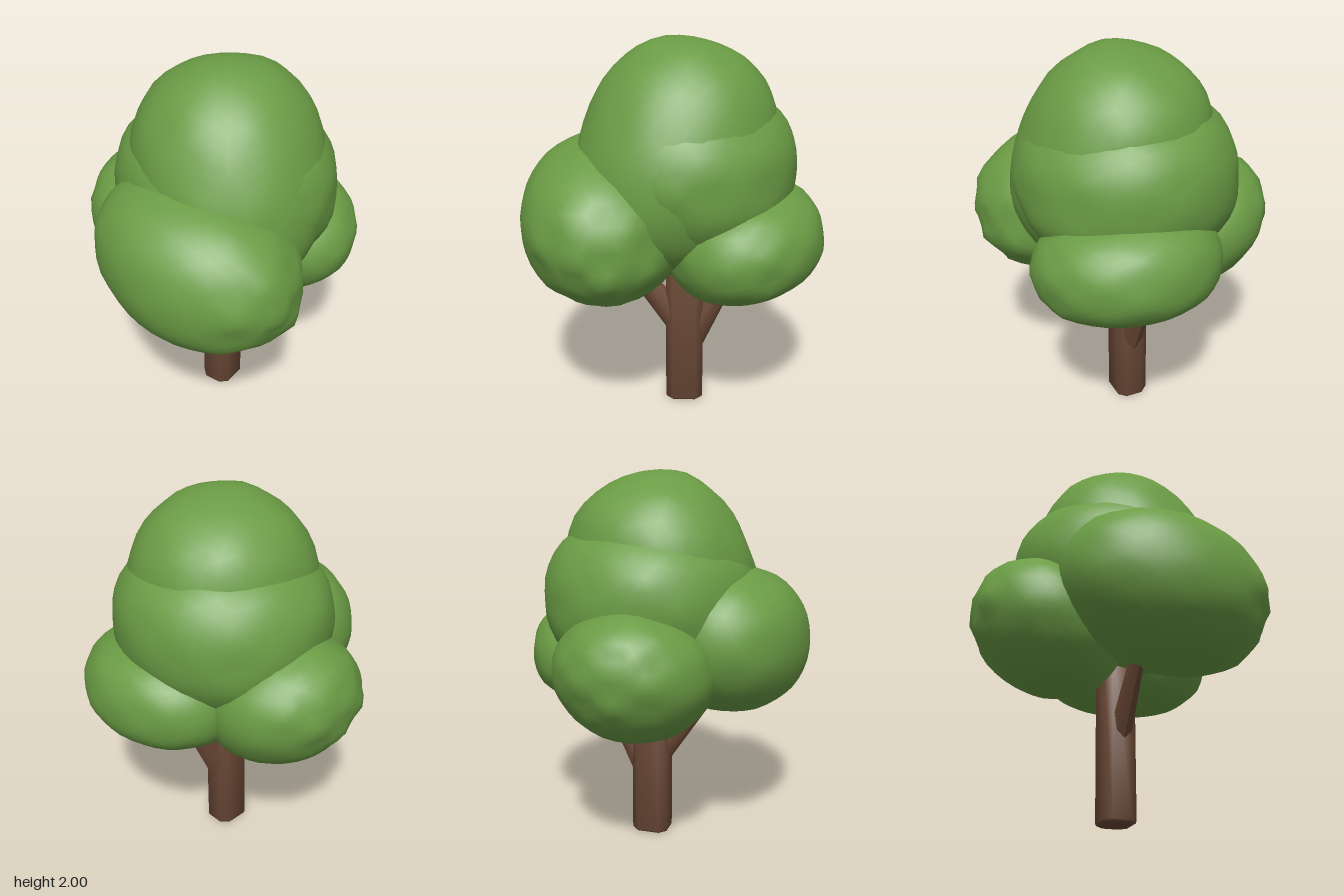
import * as THREE from 'three';
import { mergeVertices, toCreasedNormals } from 'three/addons/utils/BufferGeometryUtils.js';

const leafGreen = new THREE.MeshStandardMaterial({ color: 0x6b9c45 });
leafGreen.name = 'leaf green';
const barkBrown = new THREE.MeshStandardMaterial({ color: 0x6b4936 });
barkBrown.name = 'bark brown';

// Smooth ellipsoid with gentle lumps. power above 2 makes its upper and lower
// shoulders fuller; rough (0..1) adds small dents towards the outer end.
function foliage(name, { center, radii, turn = [0, 0, 0], power = 2, seed, outer, rough }) {
  const ico = new THREE.IcosahedronGeometry(1, 7);
  ico.deleteAttribute('uv');
  ico.deleteAttribute('normal');
  const geo = mergeVertices(ico, 1e-4);
  const pos = geo.attributes.position;
  const out = new THREE.Vector3(...outer).normalize();
  const v = new THREE.Vector3();
  for (let i = 0; i < pos.count; i++) {
    v.fromBufferAttribute(pos, i);
    const broad = Math.sin(3.1 * v.x + seed) * Math.sin(2.7 * v.y + seed * 2) * Math.cos(3.3 * v.z + seed * 3);
    const fine = Math.sin(8.3 * v.x + seed * 5) * Math.sin(9.1 * v.y + seed) * Math.sin(7.7 * v.z + seed * 2);
    const tip = Math.max(0, v.dot(out) - 0.6) * rough;
    const norm = (Math.hypot(v.x, v.z) ** power + Math.abs(v.y) ** power) ** (1 / power);
    v.multiplyScalar((1 + 0.02 * broad + (0.012 + 0.15 * tip) * fine) / norm);
    pos.setXYZ(i, v.x, v.y, v.z);
  }
  geo.scale(...radii);
  geo.rotateY(turn[1]).rotateX(turn[0]).rotateZ(turn[2]);
  geo.translate(...center);
  geo.computeVertexNormals();
  const mesh = new THREE.Mesh(geo, leafGreen);
  mesh.name = name;
  return mesh;
}

// Tapered limb between two points, narrower across x
function branch(name, from, to, r0, r1) {
  const a = new THREE.Vector3(...from), b = new THREE.Vector3(...to);
  const dir = b.clone().sub(a);
  const geo = new THREE.CylinderGeometry(r1, r0, dir.length(), 8, 2);
  geo.scale(0.75, 1, 1);
  geo.applyQuaternion(new THREE.Quaternion().setFromUnitVectors(new THREE.Vector3(0, 1, 0), dir.normalize()));
  geo.translate(...a.add(b).multiplyScalar(0.5).toArray());
  const mesh = new THREE.Mesh(toCreasedNormals(geo, 1), barkBrown);
  mesh.name = name;
  return mesh;
}

// Squared trunk with chamfered corners and a bevelled foot
function makeTrunk() {
  const w = 0.073, d = 0.086, c = 0.031, bevel = 0.015;
  const section = new THREE.Shape([
    [w, -d + c], [w, d - c], [w - c, d], [-w + c, d],
    [-w, d - c], [-w, -d + c], [-w + c, -d], [w - c, -d]
  ].map(([x, y]) => new THREE.Vector2(x, y)));
  const geo = new THREE.ExtrudeGeometry(section, {
    depth: 0.9, bevelEnabled: true, bevelSize: bevel, bevelThickness: bevel, bevelSegments: 2
  });
  geo.rotateX(-Math.PI / 2);
  geo.translate(0.057, bevel, -0.06);
  const mesh = new THREE.Mesh(toCreasedNormals(geo, 0.9), barkBrown);
  mesh.name = 'trunk';
  return mesh;
}

export function createModel() {
  const tree = new THREE.Group();
  tree.name = 'tree';

  // Trunk and forked limbs
  tree.add(
    makeTrunk(),
    branch('frontBranch', [0.07, 0.41, -0.07], [0.08, 0.81, 0.24], 0.085, 0.05),
    branch('backBranch', [0.06, 0.31, -0.05], [0.06, 0.82, -0.34], 0.1, 0.047)
  );

  // Overlapping crown masses
  tree.add(
    foliage('crownTop', {
      center: [0.12, 1.405, -0.015], radii: [0.49, 0.6, 0.5], turn: [-0.25, 0, 0.3],
      power: 2.3, seed: 0.4, outer: [0, 1, 0], rough: 0
    }),
    foliage('crownMiddle', {
      center: [0.06, 1.34, -0.07], radii: [0.575, 0.44, 0.56],
      power: 2.35, seed: 1.7, outer: [1, 0, 0], rough: 0.2
    }),
    foliage('frontFoliage', {
      center: [0.185, 1.115, 0.345], radii: [0.56, 0.4, 0.425], turn: [0, 0, -0.22],
      power: 2.15, seed: 2.9, outer: [1, 0, 0], rough: 1
    }),
    foliage('backFoliage', {
      center: [0.195, 0.995, -0.365], radii: [0.47, 0.285, 0.4], turn: [0.17, -0.25, 0],
      power: 2.4, seed: 4.1, outer: [1, 0, -0.3], rough: 0.4
    }),
    foliage('rightFoliage', {
      center: [-0.335, 1.005, -0.035], radii: [0.42, 0.335, 0.405], turn: [0, 0, -0.5],
      seed: 5.3, outer: [-1, -0.3, 0], rough: 0.9
    })
  );
  return tree;
}
